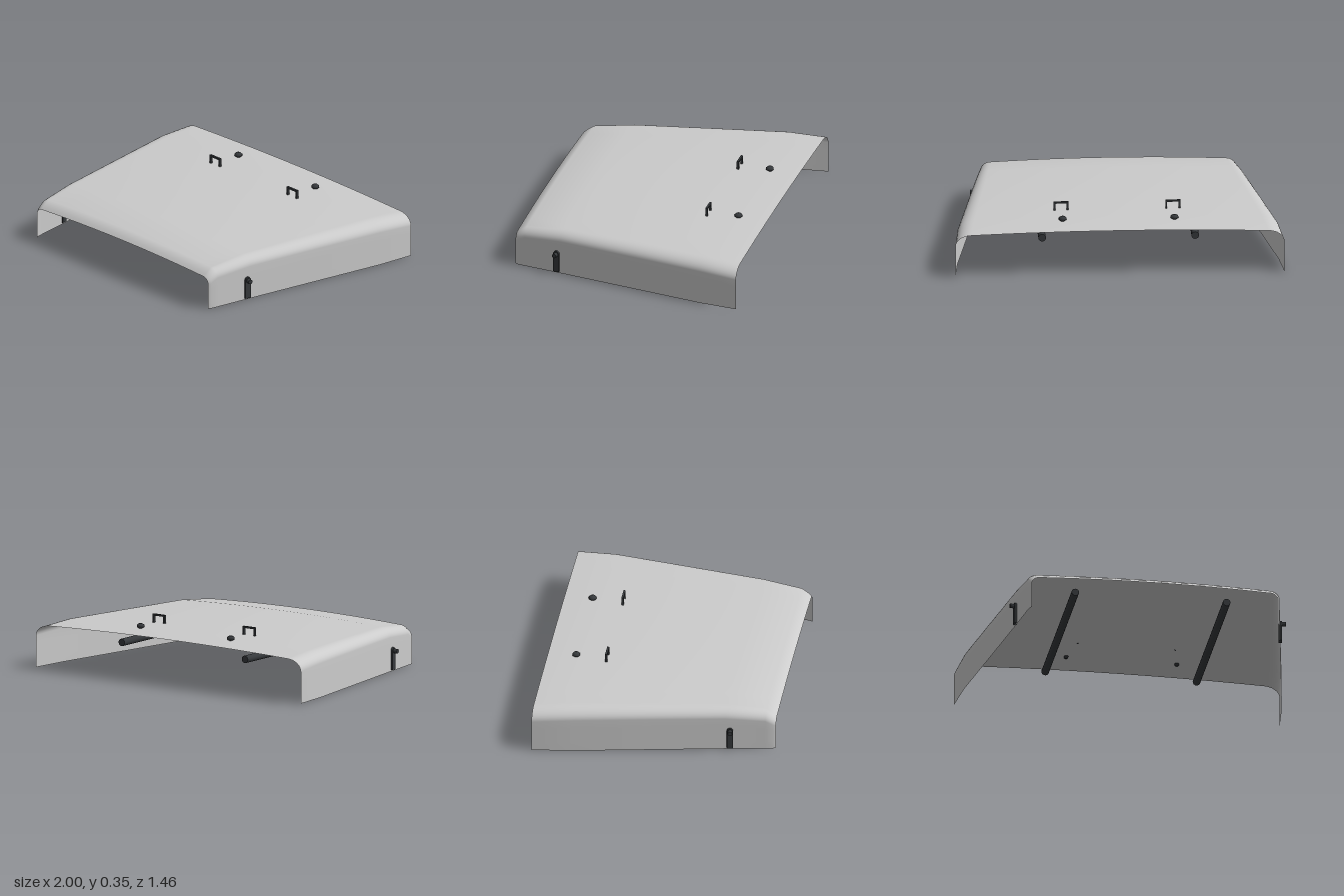
import * as THREE from 'three';

const panelMat = new THREE.MeshStandardMaterial({ color: 0xcccccc, side: THREE.DoubleSide });
const darkMat = new THREE.MeshStandardMaterial({ color: 0x36393c });

function add(parent, name, geometry, material, x = 0, y = 0, z = 0) {
  const mesh = new THREE.Mesh(geometry, material);
  mesh.name = name;
  mesh.position.set(x, y, z);
  parent.add(mesh);
  return mesh;
}

// One half of a cross-section, from the flange bottom to just short of the centre line
function halfSection({ w, top, rx, ry }) {
  const pts = [];
  const crown = x => top - 0.02 * (x / w) ** 2;
  const shoulder = crown(w - rx);
  for (let k = 0; k < 4; k++) pts.push([w, (shoulder - ry) * k / 4]);
  for (let k = 0; k <= 8; k++) {
    const a = k / 8 * Math.PI / 2;
    pts.push([w - rx + rx * Math.cos(a), shoulder - ry + ry * Math.sin(a)]);
  }
  for (let k = 1; k < 6; k++) {
    const x = (w - rx) * (1 - k / 6);
    pts.push([x, crown(x)]);
  }
  return pts;
}

// Hood skin lofted through cross-sections from front to rear
function hoodGeometry() {
  const stations = [
    { z: 0.732, w: 0.757, top: 0.217, rx: 0.045, ry: 0.045 },
    { z: 0.715, w: 0.768, top: 0.231, rx: 0.05, ry: 0.05 },
    { z: 0.67, w: 0.776, top: 0.261, rx: 0.06, ry: 0.055 },
    { z: 0.43, w: 0.815, top: 0.286, rx: 0.075, ry: 0.06 },
    { z: -0.05, w: 0.898, top: 0.292, rx: 0.09, ry: 0.065 },
    { z: -0.5, w: 0.976, top: 0.296, rx: 0.1, ry: 0.07 },
    { z: -0.732, w: 1.0, top: 0.282, rx: 0.1, ry: 0.07 },
  ];
  const pos = [], index = [];
  let n = 0;
  for (const s of stations) {
    const half = halfSection(s);
    const ring = [...half, [0, s.top], ...half.map(([x, y]) => [-x, y]).reverse()];
    n = ring.length;
    for (const [x, y] of ring) pos.push(x, y, s.z);
  }
  for (let i = 0; i < stations.length - 1; i++) {
    for (let j = 0; j < n - 1; j++) {
      const a = i * n + j, b = a + n;
      index.push(a, b, a + 1, b, b + 1, a + 1);
    }
  }
  const g = new THREE.BufferGeometry();
  g.setAttribute('position', new THREE.Float32BufferAttribute(pos, 3));
  g.setIndex(index);
  g.computeVertexNormals();
  return g;
}

export function createModel() {
  const model = new THREE.Group();
  model.name = 'hood';
  add(model, 'hoodPanel', hoodGeometry(), panelMat);

  for (const s of [1, -1]) {
    const side = s > 0 ? 'left' : 'right';

    // Long round rail under the panel
    const rail = add(model, side + 'Rail', new THREE.CylinderGeometry(0.023, 0.023, 1.16, 16), darkMat, s * 0.465, 0.19, 0);
    rail.rotation.x = Math.PI / 2;

    // Grab handle: two posts and a bar
    const handle = new THREE.Group();
    handle.name = side + 'Handle';
    handle.position.set(s * 0.34, 0, -0.365);
    for (const p of [1, -1]) add(handle, 'handlePost', new THREE.BoxGeometry(0.011, 0.05, 0.013), darkMat, p * 0.04, 0.317, 0);
    add(handle, 'handleBar', new THREE.BoxGeometry(0.091, 0.011, 0.013), darkMat, 0, 0.34, 0);
    model.add(handle);

    // Flattened knob near the rear edge
    const profile = [[0, 0.28], [0.012, 0.28], [0.014, 0.29], [0.024, 0.298], [0.024, 0.308], [0.014, 0.317], [0, 0.318]];
    add(model, side + 'Knob', new THREE.LatheGeometry(profile.map(p => new THREE.Vector2(...p)), 10), darkMat, s * 0.34, 0, -0.555);

    // Side latch: plate with a round-ended top and a peg
    const latch = new THREE.Group();
    latch.name = side + 'Latch';
    latch.position.set(s * 0.813, 0, 0.457);
    latch.rotation.y = -s * 0.17;
    add(latch, 'latchPlate', new THREE.BoxGeometry(0.02, 0.118, 0.038), darkMat, 0, 0.069, 0);
    const cap = add(latch, 'latchCap', new THREE.CylinderGeometry(0.019, 0.019, 0.02, 16), darkMat, 0, 0.128, 0);
    const peg = add(latch, 'latchPeg', new THREE.CylinderGeometry(0.014, 0.014, 0.03, 14), darkMat, s * 0.02, 0.125, 0);
    cap.rotation.z = peg.rotation.z = Math.PI / 2;
    model.add(latch);
  }
  return model;
}
